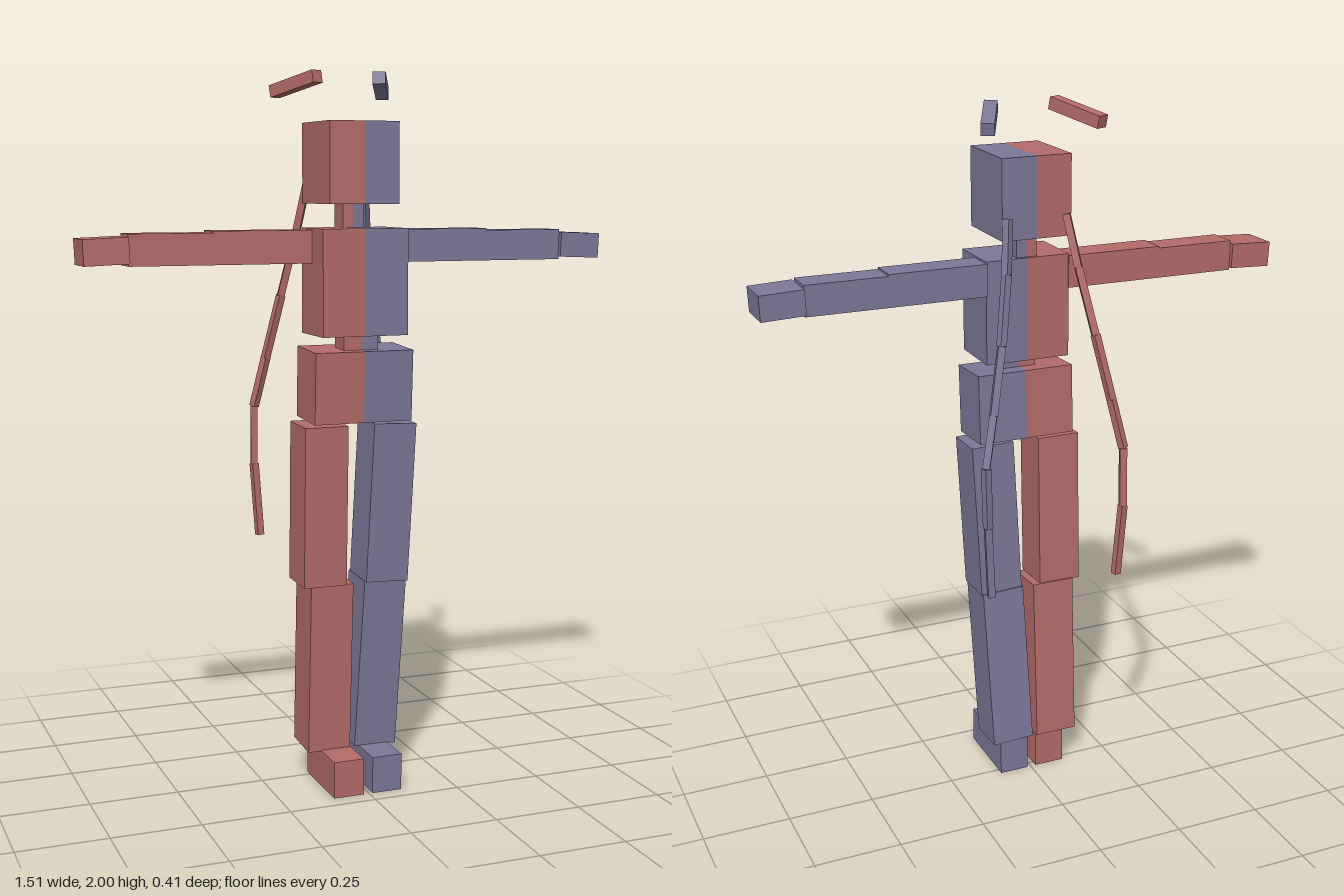
import * as THREE from 'three';

const UP = new THREE.Vector3(0, 1, 0);
const V = (p) => new THREE.Vector3(...p);

export function createModel() {
  const model = new THREE.Group();
  model.name = 'blockFigure';
  const red = new THREE.MeshStandardMaterial({ color: 0xb46c6a, flatShading: true });
  const purple = new THREE.MeshStandardMaterial({ color: 0x7e7898, flatShading: true });

  // Axis-aligned block given by its ranges
  function block(name, mat, [x0, x1], [y0, y1], [z0, z1]) {
    const m = new THREE.Mesh(new THREE.BoxGeometry(x1 - x0, y1 - y0, z1 - z0), mat);
    m.position.set((x0 + x1) / 2, (y0 + y1) / 2, (z0 + z1) / 2);
    m.name = name;
    model.add(m);
    return m;
  }

  // Block whose long axis runs from a to b
  function beam(name, mat, a, b, w, d) {
    const dir = V(b).sub(V(a));
    const m = new THREE.Mesh(new THREE.BoxGeometry(w, dir.length(), d), mat);
    m.position.copy(V(a)).add(V(b)).multiplyScalar(0.5);
    m.quaternion.setFromUnitVectors(UP, dir.normalize());
    m.name = name;
    model.add(m);
    return m;
  }

  // Bar from a to b that stays level across its width
  function bar(name, mat, a, b, w, h) {
    const m = new THREE.Mesh(new THREE.BoxGeometry(w, h, V(a).distanceTo(V(b))), mat);
    m.position.copy(V(a)).add(V(b)).multiplyScalar(0.5);
    m.lookAt(V(b));
    m.name = name;
    model.add(m);
    return m;
  }

  const strand = [
    [0.085, 1.70, -0.062], [0.105, 1.56, -0.098], [0.138, 1.38, -0.14],
    [0.175, 1.2, -0.17], [0.205, 1.06, -0.188], [0.204, 0.89, -0.195], [0.192, 0.68, -0.185],
  ];

  for (const s of [1, -1]) {
    const side = s > 0 ? 'left' : 'right';
    const mat = s > 0 ? purple : red;
    const span = (a, b) => (s > 0 ? [a, b] : [-b, -a]);
    const flip = ([x, y, z]) => [s * x, y, z];

    // Trunk halves meeting on the centre line
    block(side + 'Head', mat, span(0, 0.1), [1.64, 1.86], [-0.06, 0.16]);
    block(side + 'Neck', mat, span(0, 0.03), [1.57, 1.64], [0.01, 0.075]);
    block(side + 'Chest', mat, span(0, 0.123), [1.285, 1.575], [0, 0.17]);
    block(side + 'Waist', mat, span(0, 0.05), [1.24, 1.29], [0.065, 0.135]);
    const hips = block(side + 'Hips', mat, span(0, 0.142), [1.05, 1.247], [0.01, 0.16]);
    hips.rotation.x = 0.05;

    // Arms
    block(side + 'UpperArm', mat, span(0.12, 0.4), [1.48, 1.57], [-0.005, 0.083]);
    block(side + 'Forearm', mat, span(0.4, 0.63), [1.48, 1.565], [-0.005, 0.083]);
    const hand = block(side + 'Hand', mat, span(0.63, 0.752), [1.485, 1.555], [-0.018, 0.097]);
    hand.rotation.z = -s * 0.04;

    // Legs: the left one leans inward, the right one hangs straight
    const hip = s > 0 ? 0.099 : -0.103;
    const kneeUpper = s > 0 ? 0.081 : -0.103;
    const knee = s > 0 ? 0.079 : -0.08;
    const ankle = s > 0 ? 0.059 : -0.08;
    beam(side + 'Thigh', mat, [kneeUpper, 0.59, 0.067], [hip, 1.04, 0.082], 0.125, 0.127);
    beam(side + 'Shin', mat, [ankle, 0.105, 0.034], [knee, 0.592, 0.061], 0.125, 0.125);
    block(side + 'Foot', mat, s > 0 ? [0.01, 0.097] : [-0.105, -0.016], [0, 0.104], [-0.02, 0.203]);

    // Floating brow bar above the head
    bar(side + 'Brow', mat, flip([0.09, 1.981, 0.036]), flip([0.162, 1.946, -0.115]), 0.036, 0.034);

    // Long bent strand behind the head
    for (let i = 0; i < strand.length - 1; i++) {
      beam(side + 'Strand' + (i + 1), mat, flip(strand[i]), flip(strand[i + 1]), 0.02, 0.02);
    }
  }
  return model;
}
